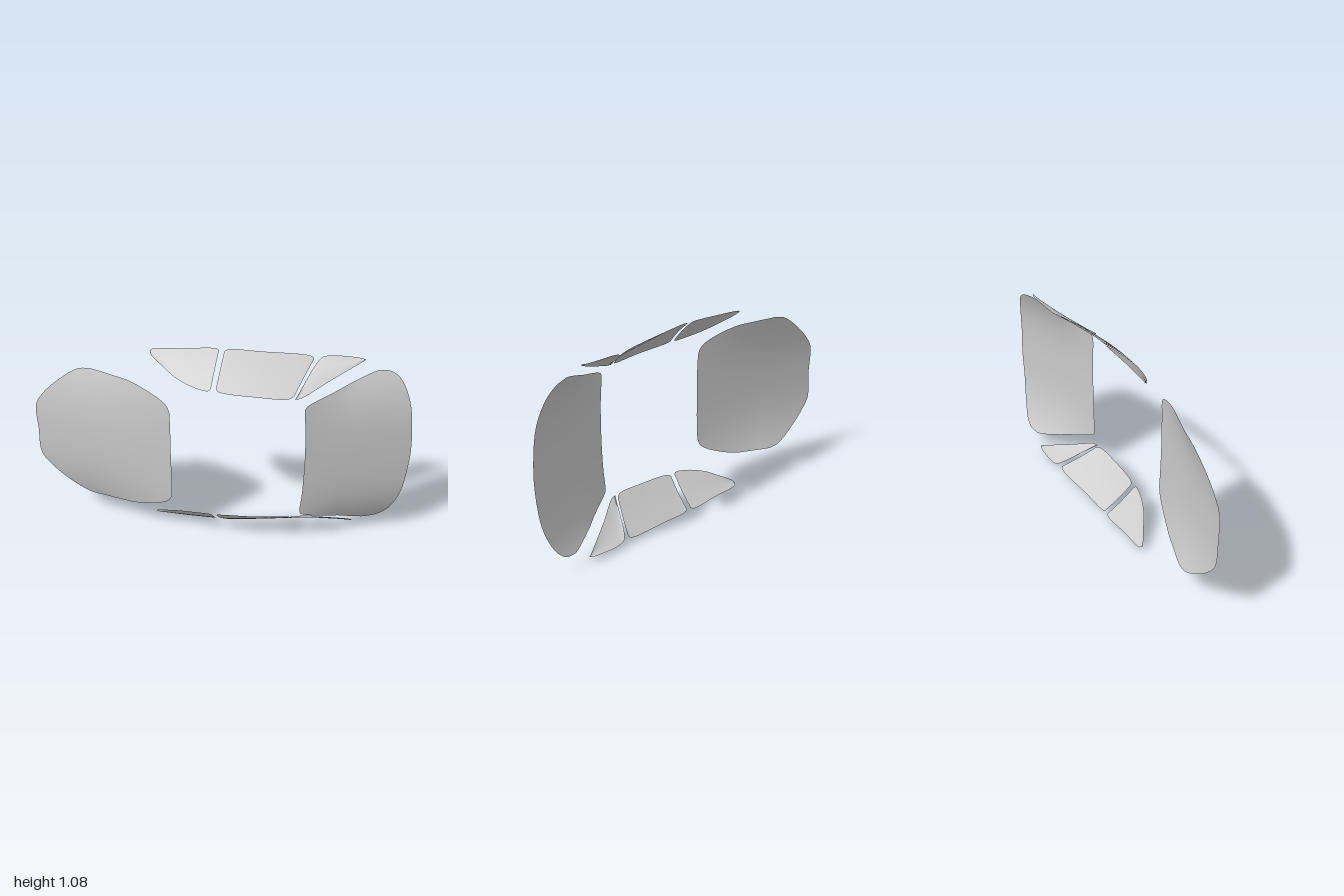
import * as THREE from 'three';
import { mergeVertices } from 'three/addons/utils/BufferGeometryUtils.js';

const MID = 0.5375; // mirror height
const glass = new THREE.MeshStandardMaterial({ color: 0xcccccc, side: THREE.DoubleSide });
const curve = (pts) => new THREE.CatmullRomCurve3(pts.map((p) => new THREE.Vector3(...p)));

// Curved sheet stretched between two edge curves; shape(point, v) bends it
function sheet(name, edgeA, edgeB, shape, along = 48, across = 14) {
  const a = curve(edgeA), b = curve(edgeB);
  const plane = new THREE.PlaneGeometry(1, 1, along, across);
  const pos = plane.attributes.position;
  for (let i = 0; i < pos.count; i++) {
    const u = THREE.MathUtils.clamp(pos.getX(i) + 0.5, 0, 1);
    const v = THREE.MathUtils.clamp(pos.getY(i) + 0.5, 0, 1);
    const p = a.getPoint(u).lerp(b.getPoint(u), v);
    shape(p, v);
    pos.setXYZ(i, p.x, p.y, p.z);
  }
  plane.deleteAttribute('uv');
  plane.deleteAttribute('normal');
  const geo = mergeVertices(plane, 1e-5);
  geo.computeVertexNormals();
  const mesh = new THREE.Mesh(geo, glass);
  mesh.name = name;
  return mesh;
}

// Half edge [x, distance from the middle] mirrored to a full edge
const fullEdge = (half) => [
  ...half.slice(1).reverse().map(([x, d]) => [x, MID - d, 0]),
  ...half.map(([x, d]) => [x, MID + d, 0]),
];

export function createModel() {
  const model = new THREE.Group();
  model.name = 'carWindows';
  const { clamp } = THREE.MathUtils;

  // Windshield: slopes toward +x and curls back at both sides
  model.add(sheet('windshield',
    fullEdge([[0.998, 0], [0.99, 0.13], [0.975, 0.25], [0.95, 0.335], [0.91, 0.41], [0.86, 0.45], [0.8, 0.462]]),
    fullEdge([[0.45, 0], [0.445, 0.2], [0.437, 0.3], [0.44, 0.325], [0.46, 0.342], [0.6, 0.395], [0.77, 0.457], [0.8, 0.462]]),
    (p) => {
      const side = Math.abs(p.y - MID) / 0.46;
      const curl = clamp(0.3 + (p.x - 0.44) / 0.3, 0.3, 1);
      p.z = 0.108 - (p.x - 0.44) * 0.327 - 0.085 * curl * side ** 3;
    }));

  // Rear window: slopes toward -x
  model.add(sheet('rearWindow',
    fullEdge([[-0.245, 0], [-0.245, 0.2], [-0.25, 0.27], [-0.28, 0.312], [-0.45, 0.382], [-0.56, 0.394], [-0.69, 0.402]]),
    fullEdge([[-1, 0], [-1, 0.152], [-0.96, 0.22], [-0.86, 0.318], [-0.75, 0.39], [-0.69, 0.402]]),
    (p) => {
      const side = Math.abs(p.y - MID) / 0.4;
      const curl = clamp(0.3 + (-0.25 - p.x) / 0.6, 0.3, 1);
      p.z = 0.118 + (p.x + 0.245) * 0.232 - 0.06 * curl * side ** 2.5;
    }));

  // Side panes: lower and upper edges, both running from rear to front
  const panes = {
    rearQuarterWindow: [
      [[-0.37, 1.045, -0.07], [-0.36, 1.03, -0.055], [-0.3, 0.995, -0.015], [-0.22, 0.955, 0.035],
        [-0.12, 0.928, 0.075], [-0.05, 0.922, 0.088], [-0.038, 0.932, 0.08]],
      [[-0.37, 1.045, -0.07], [-0.36, 1.055, -0.077], [-0.2, 1.068, -0.077], [-0.03, 1.076, -0.08],
        [-0.015, 1.07, -0.072]],
    ],
    doorWindow: [
      [[-0.012, 0.932, 0.08], [0, 0.922, 0.09], [0.2, 0.909, 0.1], [0.35, 0.903, 0.09], [0.378, 0.912, 0.075]],
      [[0.013, 1.068, -0.07], [0.03, 1.076, -0.077], [0.2, 1.068, -0.09], [0.45, 1.047, -0.112],
        [0.465, 1.037, -0.105]],
    ],
    frontQuarterWindow: [
      [[0.385, 0.903, 0.088], [0.415, 0.908, 0.08], [0.55, 0.965, -0.01], [0.7, 1.03, -0.1], [0.725, 1.043, -0.113]],
      [[0.385, 0.903, 0.088], [0.49, 1.03, -0.105], [0.52, 1.046, -0.122], [0.7, 1.046, -0.122],
        [0.725, 1.043, -0.113]],
    ],
  };
  const flip = (edge) => edge.map(([x, y, z]) => [x, 2 * MID - y, z]);
  for (const [name, [lower, upper]] of Object.entries(panes)) {
    for (const s of [1, -1]) {
      // Slight outward bulge
      const bulge = (p, v) => {
        const h = 0.004 * Math.sin(Math.PI * v);
        p.y += s * h;
        p.z += h;
      };
      model.add(s > 0
        ? sheet(name + 'Upper', lower, upper, bulge, 32, 8)
        : sheet(name + 'Lower', flip(upper), flip(lower), bulge, 32, 8));
    }
  }
  return model;
}
